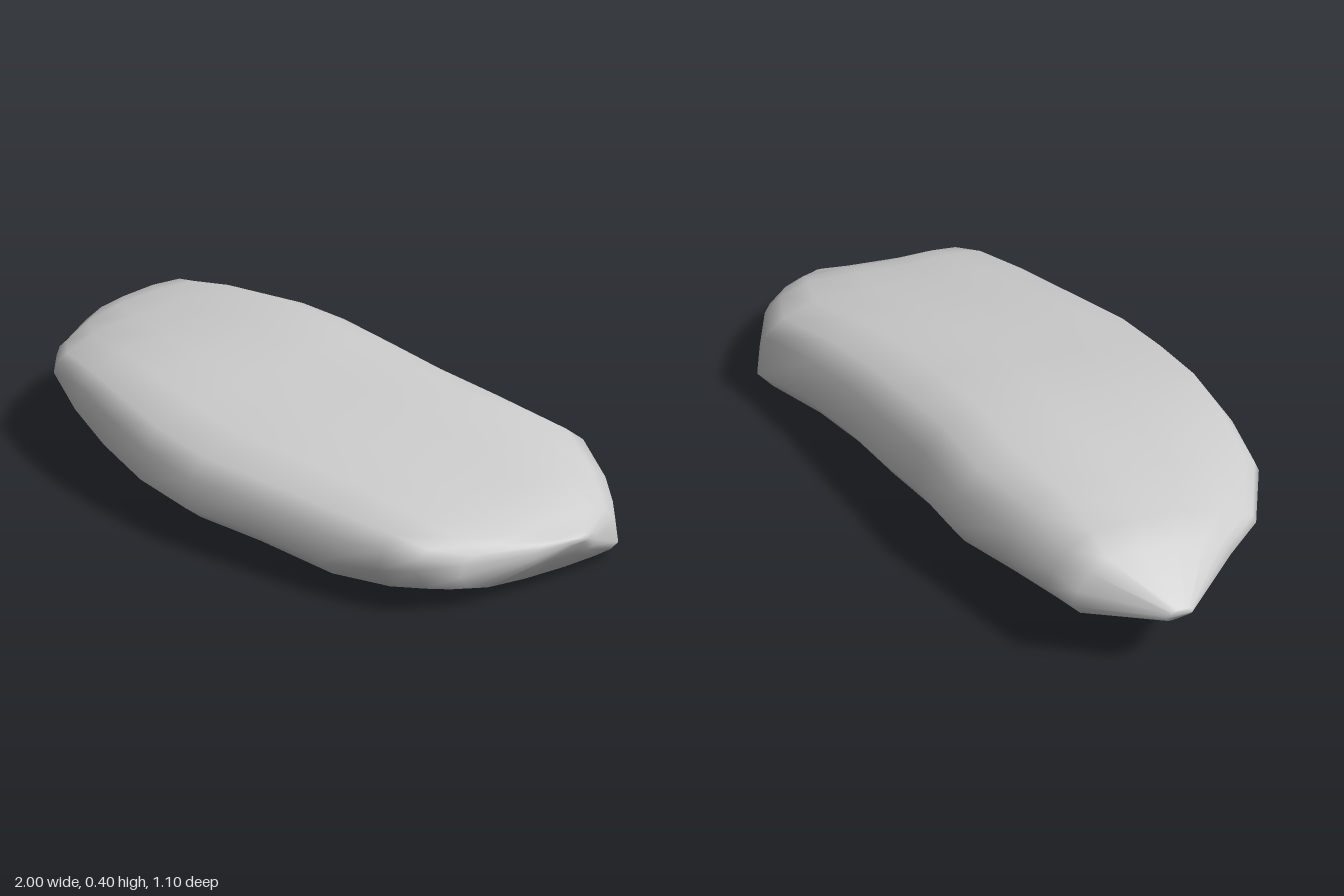
import * as THREE from 'three';

// Stations along the slab: x, back z, front z, lowest y, highest y, then as fractions
// of the thickness: back rim, back shoulder, front rim, front shoulder
const stations = [
  [-1, -0.03, 0.05, 0.18, 0.21, 0.33, 0.65, 0.3, 0.65],
  [-0.86, -0.23, 0.24, 0.155, 0.33, 0.25, 0.5, 0.3, 0.6],
  [-0.77, -0.26, 0.37, 0.14, 0.35, 0.3, 0.54, 0.32, 0.52],
  [-0.6, -0.31, 0.475, 0.11, 0.383, 0.33, 0.6, 0.45, 0.64],
  [-0.4, -0.375, 0.52, 0.085, 0.393, 0.33, 0.65, 0.36, 0.72],
  [-0.2, -0.39, 0.543, 0.07, 0.4, 0.33, 0.68, 0.28, 0.7],
  [0, -0.42, 0.545, 0.052, 0.378, 0.33, 0.7, 0.24, 0.68],
  [0.2, -0.445, 0.525, 0.04, 0.355, 0.33, 0.72, 0.24, 0.68],
  [0.4, -0.485, 0.46, 0.025, 0.333, 0.33, 0.72, 0.28, 0.7],
  [0.63, -0.55, 0.39, 0, 0.292, 0.29, 0.72, 0.32, 0.76],
  [0.8, -0.48, 0.32, 0.008, 0.248, 0.22, 0.7, 0.45, 0.82],
  [0.885, -0.43, 0.265, 0.02, 0.215, 0.15, 0.65, 0.58, 0.84],
  [0.93, -0.395, 0.15, 0.028, 0.188, 0.12, 0.6, 0.45, 0.78],
  [0.98, -0.27, -0.05, 0.09, 0.16, 0.3, 0.65, 0.35, 0.68],
  [1, -0.22, -0.16, 0.13, 0.15, 0.33, 0.65, 0.3, 0.65],
];

// Cross-section as fractions of width and height: back, over the top, front, underside
const section = (back, backTop, front, frontTop) => [
  [0, back], [0.03, backTop], [0.1, 0.6 + backTop * 0.4], [0.21, 0.86 + backTop * 0.2],
  [0.42, 0.96], [0.64, 0.88], [0.82, 0.47 + frontTop * 0.5], [0.94, frontTop],
  [0.98, 0.03 + (frontTop + front) / 2], [1, front],
  [0.95, front * 0.47], [0.83, front * 0.23], [0.6, 0.03],
  [0.35, 0], [0.15, 0.01], [0.05, back * 0.3],
];

function slabGeometry() {
  const n = section(0, 0, 0, 0).length;
  const positions = [];
  const index = [];
  for (const [x, zBack, zFront, yLow, yHigh, ...rims] of stations) {
    for (const [u, v] of section(...rims)) {
      positions.push(x, yLow + (yHigh - yLow) * v, zBack + (zFront - zBack) * u);
    }
  }
  // Skin between neighbouring sections
  for (let s = 0; s < stations.length - 1; s++) {
    for (let i = 0; i < n; i++) {
      const a = s * n + i;
      const b = s * n + ((i + 1) % n);
      index.push(a, b, a + n, b, b + n, a + n);
    }
  }
  // Small blunt ends
  const last = (stations.length - 1) * n;
  for (let i = 1; i < n - 1; i++) {
    index.push(0, i + 1, i);
    index.push(last, last + i, last + i + 1);
  }
  const geometry = new THREE.BufferGeometry();
  geometry.setAttribute('position', new THREE.Float32BufferAttribute(positions, 3));
  geometry.setIndex(index);
  geometry.computeVertexNormals();
  return geometry;
}

export function createModel() {
  const group = new THREE.Group();
  group.name = 'flatRock';
  const slab = new THREE.Mesh(slabGeometry(), new THREE.MeshStandardMaterial({ color: 0xcccccc }));
  slab.name = 'stoneSlab';
  group.add(slab);
  return group;
}
